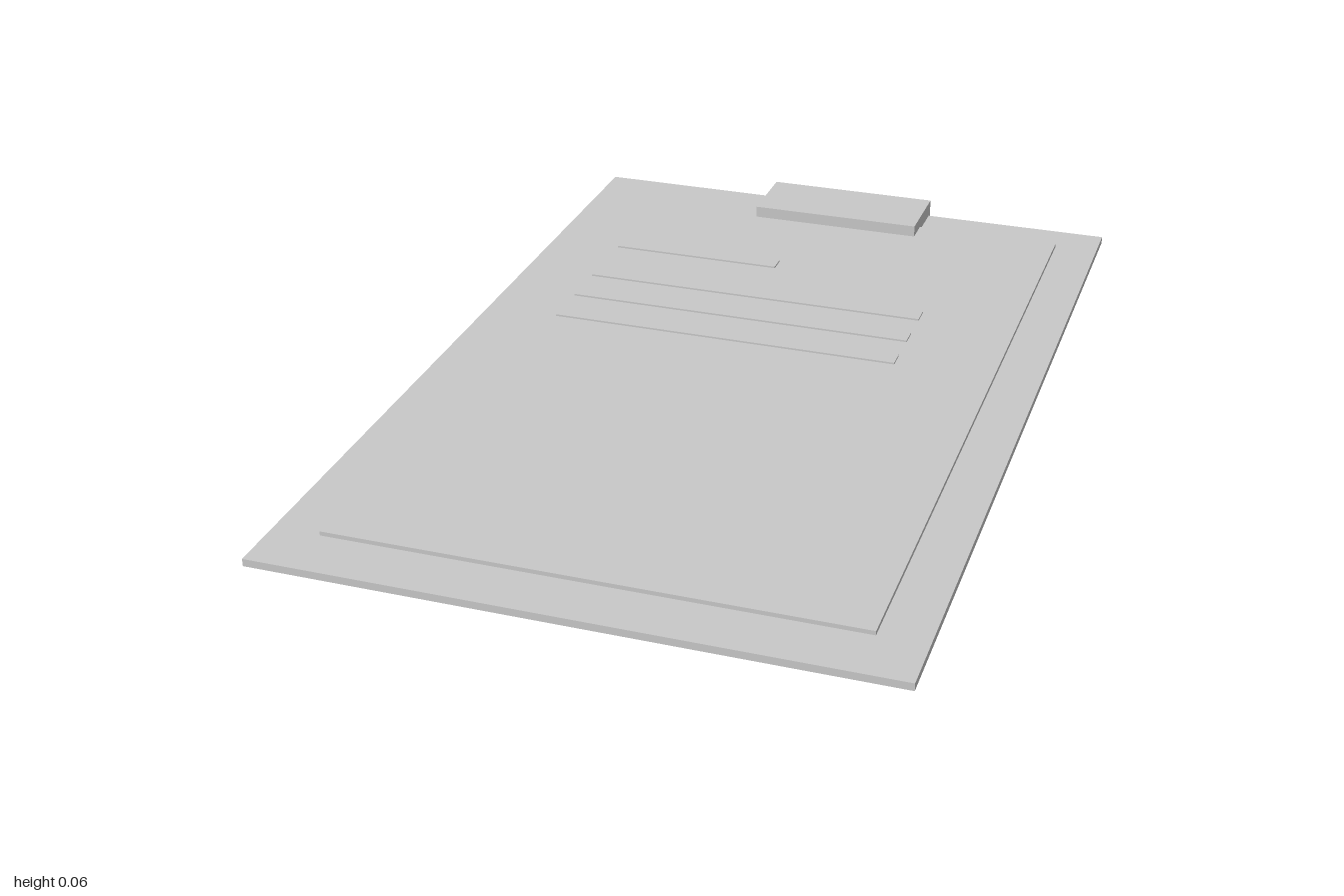
import * as THREE from 'three';

export function createModel() {
  const group = new THREE.Group();
  group.name = 'clipboard';

  const lightGrey = new THREE.MeshStandardMaterial({ color: 0xc8c8c8 });
  lightGrey.name = 'lightGrey';

  // Adds a box from its lower and upper limits on each axis.
  function addBox(name, [x0, x1], [y0, y1], [z0, z1]) {
    const mesh = new THREE.Mesh(new THREE.BoxGeometry(x1 - x0, y1 - y0, z1 - z0), lightGrey);
    mesh.position.set((x0 + x1) / 2, (y0 + y1) / 2, (z0 + z1) / 2);
    mesh.name = name;
    group.add(mesh);
  }

  // Backing board and the sheet lying on it
  addBox('board', [-0.648, 0.648], [0.005, 0.021], [-0.986, 1]);
  addBox('paper', [-0.548, 0.548], [0.02, 0.03], [-0.89, 0.88]);

  // Clip wrapping the back edge, slightly below and behind the board
  addBox('clip', [-0.205, 0.205], [0, 0.057], [-1, -0.826]);

  // Raised writing lines: a short heading and three full lines
  const lines = [
    { z: -0.56, end: -0.07 },
    { z: -0.385, end: 0.327 },
    { z: -0.27, end: 0.327 },
    { z: -0.155, end: 0.327 },
  ];
  lines.forEach(({ z, end }, i) => {
    addBox(i === 0 ? 'headingLine' : `writingLine${i}`, [-0.473, end], [0.029, 0.034], [z - 0.021, z + 0.021]);
  });

  return group;
}
